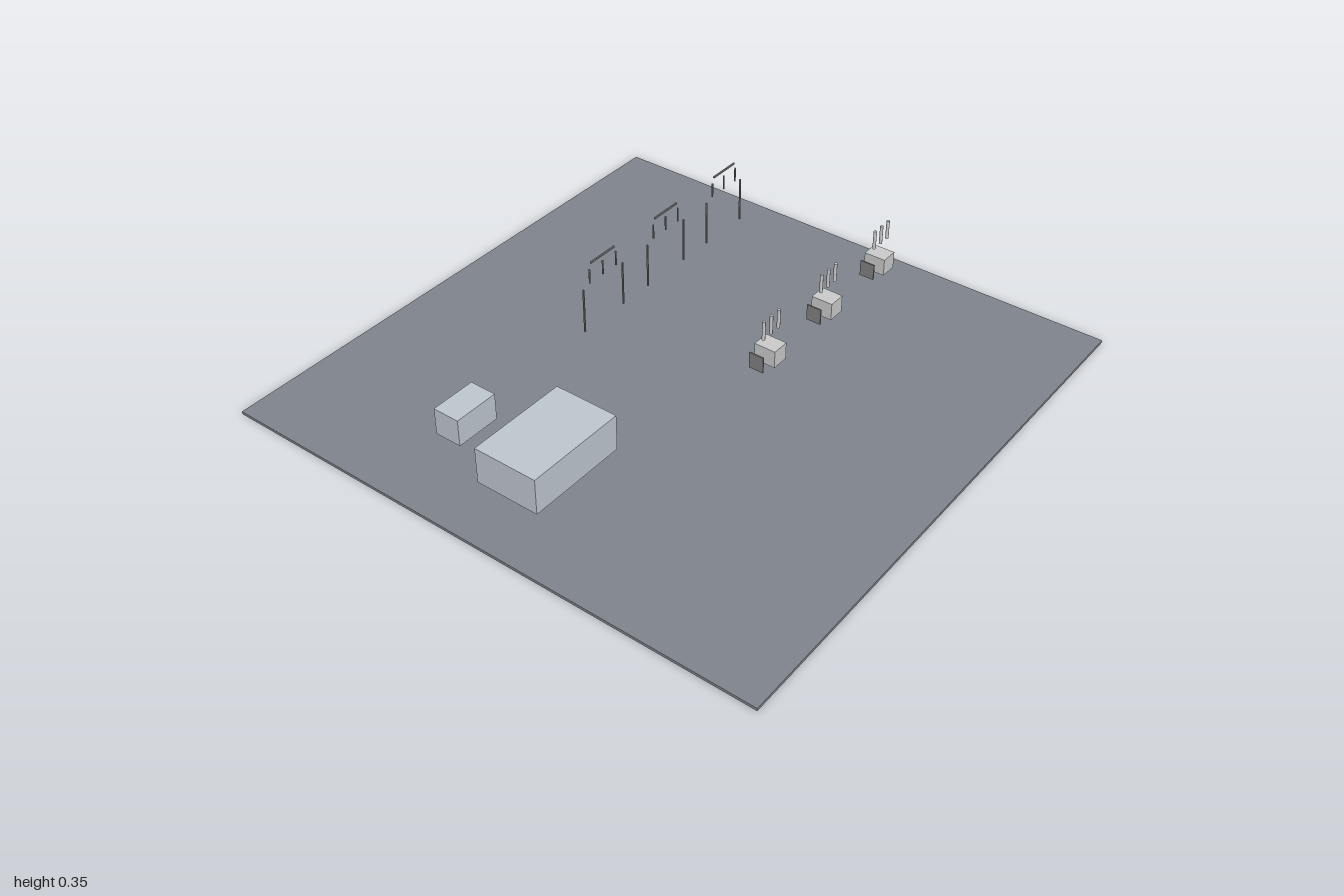
import * as THREE from 'three';

export function createModel() {
  const group = new THREE.Group();
  const mat = (color) => new THREE.MeshStandardMaterial({ color });
  const groundMat = mat(0x80868e);
  const steelMat = mat(0x808080);
  const tankMat = mat(0xc0c8d0);
  const greyMat = mat(0xcccccc);

  const add = (parent, name, geometry, material, x, y, z) => {
    const mesh = new THREE.Mesh(geometry, material);
    mesh.name = name;
    mesh.position.set(x, y, z);
    parent.add(mesh);
  };
  const box = (parent, name, size, pos, material) =>
    add(parent, name, new THREE.BoxGeometry(...size), material, ...pos);
  const rod = (parent, name, radius, height, pos, material) =>
    add(parent, name, new THREE.CylinderGeometry(radius, radius, height, 8), material, ...pos);

  // Yard slab and the two large housings
  box(group, 'groundSlab', [2, 0.01, 2], [0, 0.005, 0], groundMat);
  box(group, 'mainHousing', [0.365, 0.13, 0.232], [-0.667, 0.147, 0], tankMat);
  box(group, 'rearHousing', [0.165, 0.098, 0.098], [-0.667, 0.115, -0.333], tankMat);

  for (let i = 0; i < 3; i++) {
    // Gantry: two posts, a crossbeam and three hanging insulators
    const gantry = new THREE.Group();
    gantry.name = 'gantry';
    gantry.position.set(i / 3, 0, -0.333);
    group.add(gantry);
    for (const side of [-1, 1]) {
      box(gantry, 'gantryPost', [0.005, 0.166, 0.005], [side * 0.1, 0.179, 0], steelMat);
    }
    box(gantry, 'gantryBeam', [0.12, 0.006, 0.005], [0, 0.347, 0], steelMat);
    for (const x of [-0.067, 0, 0.067]) {
      rod(gantry, 'hangingInsulator', 0.003, 0.053, [x, 0.298, 0], steelMat);
    }

    // Switch unit: tank, three bushings and a thin side panel
    const unit = new THREE.Group();
    unit.name = 'switchUnit';
    unit.position.set(0.2 + i / 3, 0, 0.2);
    group.add(unit);
    box(unit, 'switchTank', [0.065, 0.064, 0.08], [0, 0.08, 0], greyMat);
    for (const x of [-0.042, 0, 0.042]) {
      rod(unit, 'bushing', 0.006, 0.071, [x, 0.186, 0], greyMat);
    }
    box(unit, 'sidePanel', [0.005, 0.06, 0.055], [-0.078, 0.08, 0], steelMat);
  }
  return group;
}
